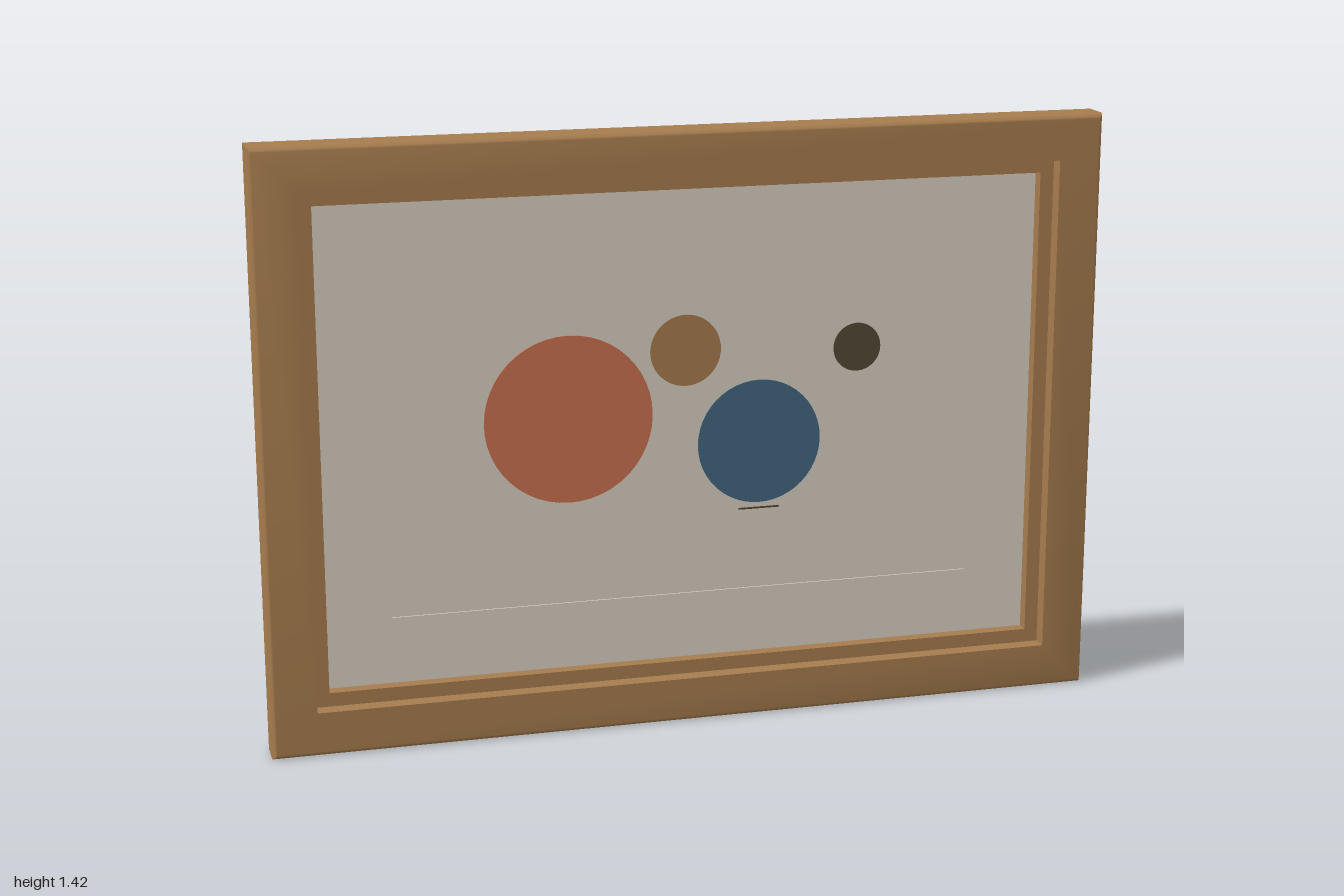
import * as THREE from 'three';
import { toCreasedNormals } from 'three/addons/utils/BufferGeometryUtils.js';

const W = 2, H = 1.42, BACK = -0.036, FRONT = 0.047, ART = -0.02;

function material(name, color) {
  const m = new THREE.MeshStandardMaterial({ color });
  m.name = name;
  return m;
}

// Sweep a closed profile of [inset, z] points around the rectangle with mitred corners
function mitredFrame(profile) {
  const corners = [[-1, -1], [1, -1], [1, 1], [-1, 1]];
  const point = (k, [inset, z]) => {
    const [sx, sy] = corners[k % 4];
    return [sx * (W / 2 - inset), H / 2 + sy * (H / 2 - inset), z];
  };
  const pos = [];
  for (let k = 0; k < 4; k++) {
    profile.forEach((p, i) => {
      const q = profile[(i + 1) % profile.length];
      const a = point(k, p), b = point(k + 1, p), c = point(k + 1, q), d = point(k, q);
      pos.push(...a, ...b, ...c, ...a, ...c, ...d);
    });
  }
  const g = new THREE.BufferGeometry();
  g.setAttribute('position', new THREE.Float32BufferAttribute(pos, 3));
  return toCreasedNormals(g, 0.6);
}

export function createModel() {
  const root = new THREE.Group();
  root.name = 'framedPicture';
  const wood = material('wood', 0xa67c4e);
  const paper = material('paper', 0xd6cec0);
  const dark = material('darkBrown', 0x544736);
  const red = material('terracotta', 0xc87050);
  const blue = material('slateBlue', 0x426680);

  const add = (name, geometry, mat, x, y, z) => {
    const mesh = new THREE.Mesh(geometry, mat);
    mesh.name = name;
    mesh.position.set(x, y, z);
    root.add(mesh);
    return mesh;
  };
  const box = (name, mat, w, h, d, x, y, z) => add(name, new THREE.BoxGeometry(w, h, d), mat, x, y, z);

  // Frame: rounded outer front edge, stepped inner lip
  const r = 0.016, profile = [[0, BACK]];
  for (let i = 0; i <= 5; i++) {
    const a = (i / 5) * Math.PI / 2;
    profile.push([r - r * Math.cos(a), FRONT - r + r * Math.sin(a)]);
  }
  profile.push([0.107, FRONT], [0.107, 0.01], [0.14, 0.01], [0.14, -0.025], [0.126, -0.025], [0.126, BACK]);
  add('frame', mitredFrame(profile), wood, 0, 0, 0);

  // Picture sheet and backing board
  box('pictureSheet', paper, 1.74, 1.16, 0.005, 0, H / 2 + 0.003, ART - 0.0025);
  box('backingBoard', dark, 1.748, 1.168, 0.011, 0, H / 2, BACK + 0.0055);

  // Painted discs
  const discs = [
    ['redDisc', red, -0.28, 0.747, 0.2],
    ['ochreDisc', wood, 0, 0.895, 0.085],
    ['blueDisc', blue, 0.18, 0.663, 0.15],
    ['darkDisc', dark, 0.42, 0.878, 0.058],
  ];
  for (const [name, mat, x, y, radius] of discs) {
    add(name, new THREE.CylinderGeometry(radius, radius, 0.003, 48), mat, x, y, ART + 0.0015).rotation.x = Math.PI / 2;
  }

  // Fine raised lines on the sheet
  box('lowerLine', paper, 1.41, 0.002, 0.004, 0, 0.3, ART + 0.002);
  box('shortLine', dark, 0.1, 0.004, 0.002, 0.18, 0.499, ART + 0.001);

  // Hanger on the back of the top rail
  box('hangerPlate', dark, 0.11, 0.027, 0.006, 0, 1.363, BACK - 0.003);
  box('hangerHook', dark, 0.042, 0.02, 0.011, 0, 1.346, BACK - 0.0055);

  // Wall bumpers at the lower back corners
  for (const side of [-1, 1]) {
    box('wallBumper', dark, 0.027, 0.027, 0.011, side * 0.934, 0.042, BACK - 0.0055);
  }
  return root;
}
